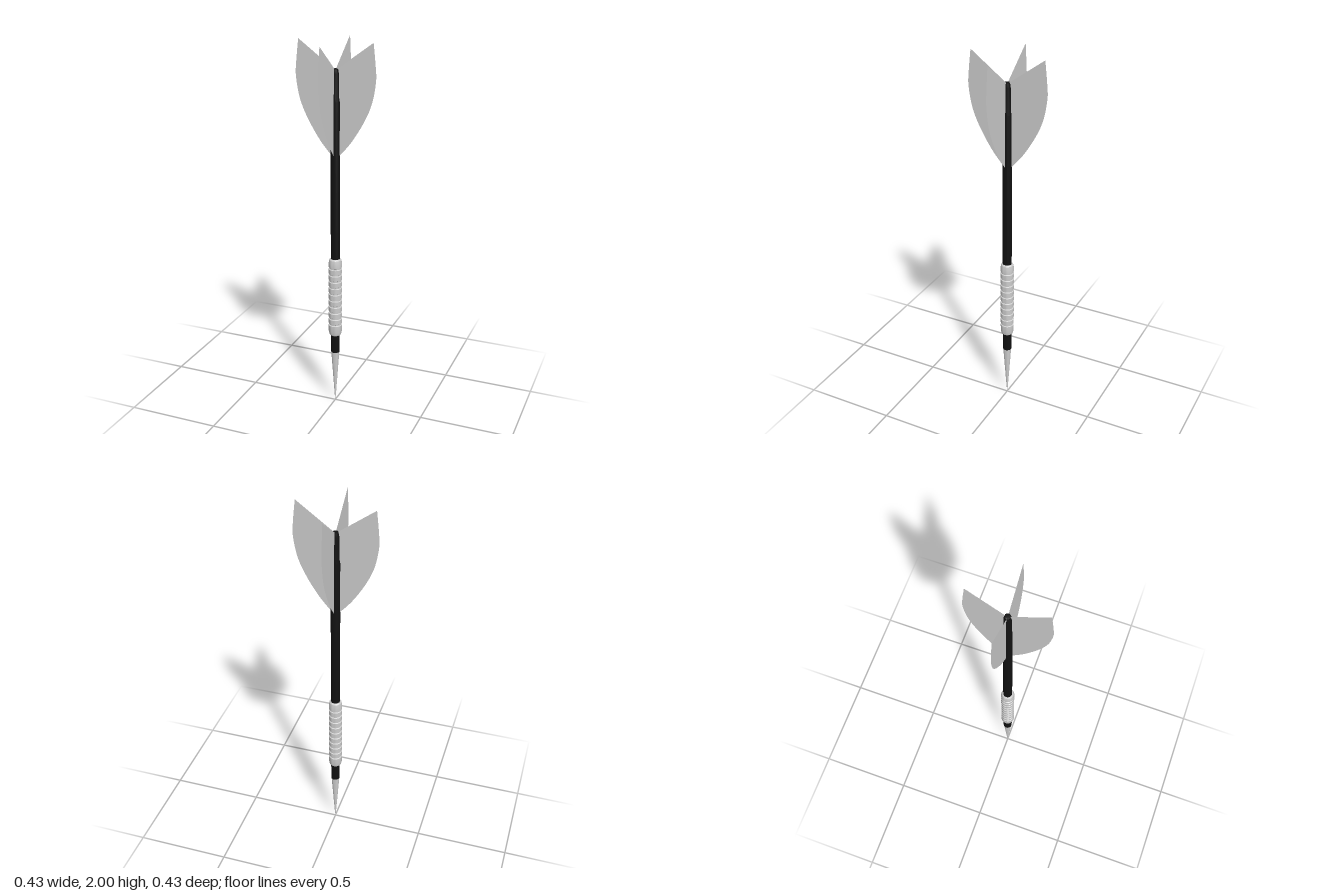
import * as THREE from 'three';
import { toCreasedNormals } from 'three/addons/utils/BufferGeometryUtils.js';

const steel = new THREE.MeshStandardMaterial({ color: 0xcccccc });
const black = new THREE.MeshStandardMaterial({ color: 0x111111 });
const finMaterial = new THREE.MeshStandardMaterial({ color: 0xcccccc, side: THREE.DoubleSide });

// Turned part from [radius, height] pairs, bottom to top
function turned(name, profile, material) {
  const points = profile.map(([r, y]) => new THREE.Vector2(r, y));
  const geometry = toCreasedNormals(new THREE.LatheGeometry(points, 32), 0.5);
  const mesh = new THREE.Mesh(geometry, material);
  mesh.name = name;
  return mesh;
}

export function createModel() {
  const dart = new THREE.Group();
  dart.name = 'dart';

  // Needle point
  dart.add(turned('point', [[0, 0], [0.004, 0.04], [0.022, 0.3], [0.022, 0.31], [0, 0.31]], steel));

  // Dark collar between point and barrel
  dart.add(turned('collar', [[0, 0.305], [0.024, 0.305], [0.024, 0.42], [0, 0.42]], black));

  // Barrel with ten grip grooves and rounded ends
  const R = 0.036;
  const barrel = [[0, 0.408], [0.026, 0.408], [0.032, 0.414], [R, 0.432]];
  for (let i = 0; i < 10; i++) {
    const y = 0.475 + i * 0.0365;
    barrel.push([R, y - 0.006], [R - 0.005, y - 0.003], [R - 0.005, y + 0.003], [R, y + 0.006]);
  }
  barrel.push([R, 0.832], [0.032, 0.85], [0.026, 0.856], [0, 0.856]);
  dart.add(turned('barrel', barrel, steel));

  // Shaft, slimmer where it holds the flight
  dart.add(turned('shaft', [
    [0, 0.85], [0.024, 0.85], [0.024, 1.7], [0.021, 1.715],
    [0.019, 1.84], [0.015, 1.862], [0, 1.865],
  ], black));

  // Four thin fins
  const outline = new THREE.Shape();
  outline.moveTo(0, 1.855);
  outline.lineTo(0, 1.415);
  outline.lineTo(0.022, 1.42);
  outline.splineThru([
    [0.085, 1.495], [0.15, 1.6], [0.193, 1.7], [0.213, 1.81], [0.211, 1.88], [0.198, 2],
  ].map(([x, y]) => new THREE.Vector2(x, y)));
  outline.closePath();
  const finGeometry = new THREE.ShapeGeometry(outline, 6);
  const flight = new THREE.Group();
  flight.name = 'flight';
  for (let i = 0; i < 4; i++) {
    const fin = new THREE.Mesh(finGeometry, finMaterial);
    fin.name = 'fin' + (i + 1);
    fin.rotation.y = i * Math.PI / 2;
    flight.add(fin);
  }
  dart.add(flight);
  return dart;
}
